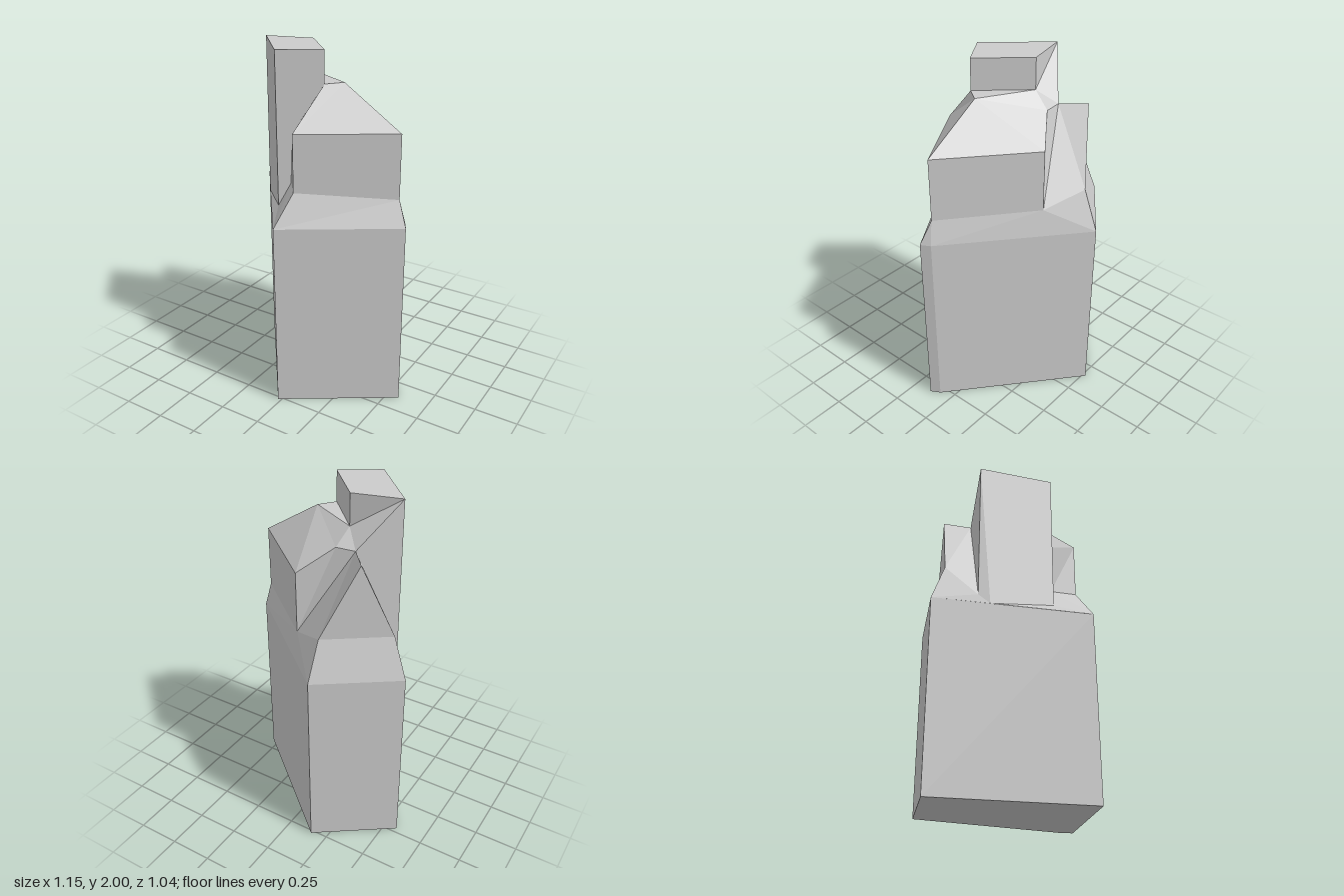
import * as THREE from 'three';

const at = (plan, y) => [plan[0], y, plan[1]];

// Flat-shaded surface from polygons; each is fanned from its first corner.
function shell(name, polygons, material) {
  const positions = [];
  for (const poly of polygons) {
    for (let i = 1; i < poly.length - 1; i++) positions.push(...poly[0], ...poly[i], ...poly[i + 1]);
  }
  const geometry = new THREE.BufferGeometry();
  geometry.setAttribute('position', new THREE.Float32BufferAttribute(positions, 3));
  geometry.computeVertexNormals();
  const mesh = new THREE.Mesh(geometry, material);
  mesh.name = name;
  return mesh;
}

// Walls between two rings of equal length
const walls = (low, high) => low.map((p, i) => {
  const j = (i + 1) % low.length;
  return [p, low[j], high[j], high[i]];
});

export function createModel() {
  const group = new THREE.Group();
  group.name = 'building';
  const material = new THREE.MeshStandardMaterial({ color: 0xcccccc, flatShading: true, side: THREE.DoubleSide });
  const add = (name, polygons) => group.add(shell(name, polygons, material));

  // Plan of the main walls: front, left, left bevel, back, right
  const plan = [[-0.02, 0.52], [0.575, 0.135], [0.545, 0.08], [-0.155, -0.52], [-0.577, -0.218]];
  const ground = plan.map(p => at(p, 0));
  const ledge = plan.map(p => at(p, 1.09));
  const [front, left, bevel, back, right] = ledge;

  // Hall corners above the setback
  const hallFront = [0.033, 0.4], hallLeft = [0.513, 0.098], hallBack = [0.052, -0.303];
  const frontLow = at(hallFront, 1.27), leftLow = at(hallLeft, 1.23), backLow = at(hallBack, 1.24);
  const frontEave = at(hallFront, 1.595), leftEave = at(hallLeft, 1.595), backEave = at(hallBack, 1.595);
  const apex = [0.16, 1.82, 0.087];

  // Annex gable, ridge and the valley behind the tower
  const annexBack = [-0.163, 1.32, -0.424], annexRight = [-0.487, 1.32, -0.19];
  const gablePeak = [-0.338, 1.735, -0.297], ridgeEnd = [-0.232, 1.735, -0.17];
  const valley = [-0.12, 1.735, -0.18];

  // Tower plan, top and the points where it meets the rest
  const tower = [[-0.418, -0.012], [-0.123, 0.32], [0.092, 0.178], [-0.143, -0.08]];
  const top = tower.map(p => at(p, 2));
  const [topRight, topFront, topLeft, topBack] = top;
  const footRight = at(tower[0], 1.14), footFront = at(tower[1], 1.14);
  const footLeft = at(tower[2], 1.82), footBack = at(tower[3], 1.82);
  const notch = [-0.38, 1.09, 0.045];
  const joinLow = [-0.063, 1.27, 0.28], joinHigh = [-0.028, 1.6, 0.257];

  add('mainWalls', [...walls(ground, ledge), [...ground].reverse()]);

  add('slopedLedge', [
    [front, left, leftLow, frontLow],
    [left, bevel, leftLow],
    [bevel, back, backLow, leftLow],
    [back, annexBack, backLow],
    [back, right, annexRight, annexBack],
    [right, notch, footRight, annexRight],
    [front, frontLow, joinLow, footFront, notch],
  ]);

  add('hallWalls', [
    [frontLow, leftLow, leftEave, frontEave],
    [leftLow, backLow, backEave, leftEave],
    [backLow, ridgeEnd, valley, backEave],
    [joinLow, frontLow, frontEave, joinHigh],
  ]);

  add('hallRoof', [
    [frontEave, leftEave, apex, footLeft],
    [joinHigh, frontEave, footLeft],
    [leftEave, backEave, apex],
    [backEave, valley, apex],
    [valley, footBack, apex],
    [footBack, footLeft, apex],
    [ridgeEnd, footBack, valley],
  ]);

  add('annexGable', [[annexBack, annexRight, gablePeak]]);

  add('annexRoof', [
    [ridgeEnd, backLow, annexBack, gablePeak],
    [ridgeEnd, gablePeak, annexRight, footRight],
  ]);

  add('tower', [
    top,
    [topRight, footRight, notch, footFront, topFront],
    [topFront, footFront, joinLow, joinHigh, footLeft, topLeft],
    [footLeft, footBack, topBack, topLeft],
    [footBack, topRight, topBack],
    [footBack, ridgeEnd, topRight],
    [ridgeEnd, footRight, topRight],
  ]);

  return group;
}
